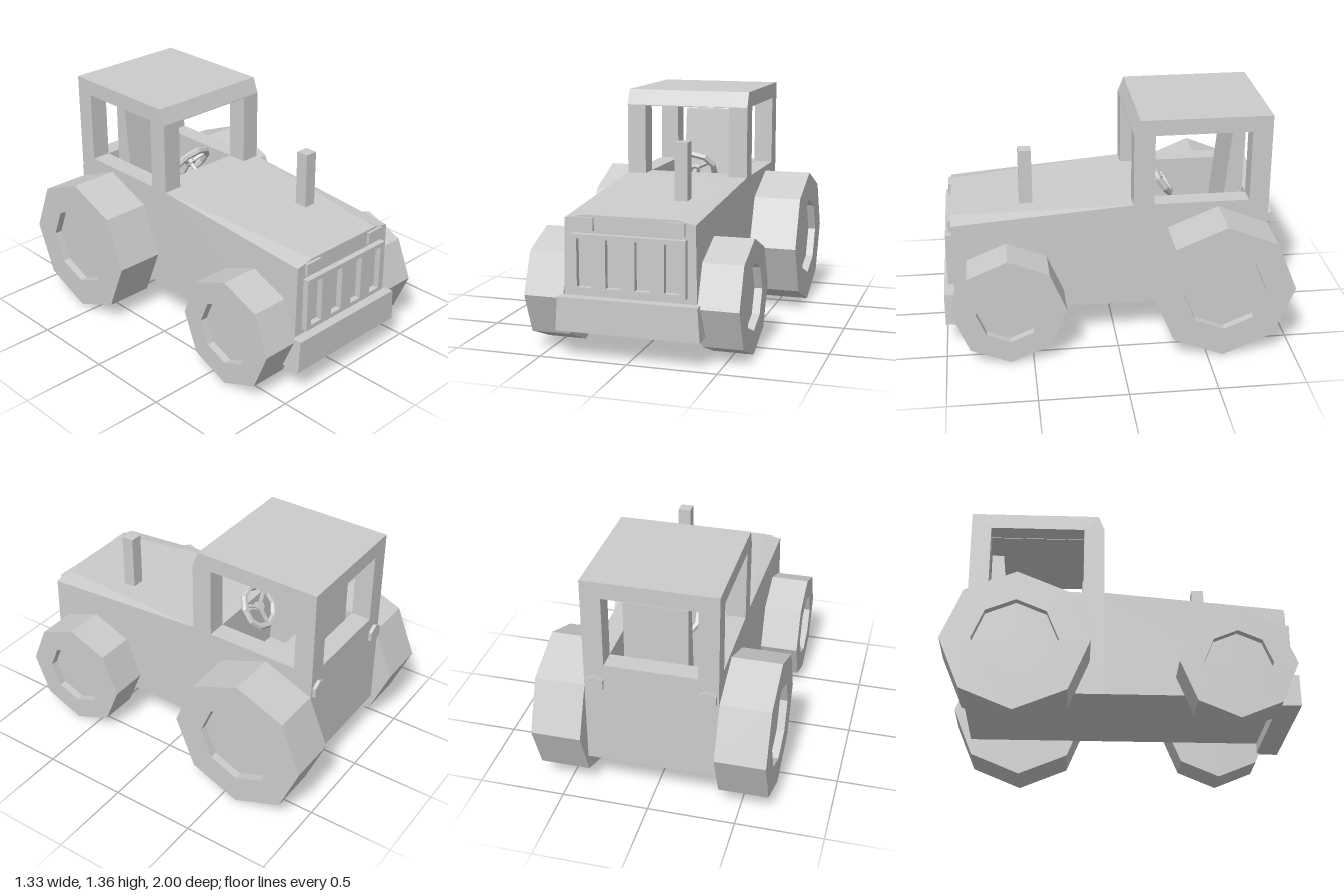
import * as THREE from 'three';
import { ConvexGeometry } from 'three/addons/geometries/ConvexGeometry.js';

const material = new THREE.MeshStandardMaterial({ color: 0xcccccc, flatShading: true });

export function createModel() {
  const model = new THREE.Group();

  function add(name, geometry, parent = model) {
    const mesh = new THREE.Mesh(geometry, material);
    mesh.name = name;
    parent.add(mesh);
    return mesh;
  }
  // Box given by its limits on each axis
  function box(name, [x0, x1], [y0, y1], [z0, z1]) {
    const g = new THREE.BoxGeometry(x1 - x0, y1 - y0, z1 - z0);
    g.translate((x0 + x1) / 2, (y0 + y1) / 2, (z0 + z1) / 2);
    return add(name, g);
  }
  const toPoints = (list) => list.map(([a, b]) => new THREE.Vector2(a, b));
  function extrude(outline, holes, depth) {
    const shape = new THREE.Shape(toPoints(outline));
    holes.forEach((h) => shape.holes.push(new THREE.Path(toPoints(h))));
    return new THREE.ExtrudeGeometry(shape, { depth, bevelEnabled: false });
  }
  // Side profile of (z, y) points, extruded from x0 to x1
  function sideProfile(name, outline, holes, x0, x1) {
    return add(name, extrude(outline, holes, x1 - x0).rotateY(-Math.PI / 2).translate(x1, 0, 0));
  }
  const rect = (a0, a1, b0, b1) => [[a0, b0], [a1, b0], [a1, b1], [a0, b1]];

  // Hood: tapers and slopes down to a front with bevelled top corners
  const section = (z, bottom, side, shoulder, top) => [-1, 1].flatMap((s) => [
    new THREE.Vector3(s * bottom, 0.215, z),
    new THREE.Vector3(s * side, shoulder, z),
    new THREE.Vector3(s * 0.26, top, z),
  ]);
  add('hood', new ConvexGeometry([
    ...section(0.94, 0.376, 0.366, 0.768, 0.79),
    ...section(-0.1, 0.376, 0.376, 0.85, 0.85),
  ]));

  // Cab: two side walls with windows, joined by roof, panels and floor
  const inner = 0.262, outer = 0.376, back = -0.885;
  for (const s of [-1, 1]) {
    sideProfile(s > 0 ? 'cabSideLeft' : 'cabSideRight',
      [[back, 0.215], [-0.1, 0.215], [-0.1, 1.27], [-0.135, 1.36], [back, 1.36]],
      [rect(-0.77, -0.22, 0.85, 1.268)],
      s > 0 ? inner : -outer, s > 0 ? outer : -inner);
  }
  sideProfile('cabRoof', [[back, 1.265], [-0.1, 1.265], [-0.1, 1.27], [-0.135, 1.36], [back, 1.36]],
    [], -inner, inner);
  box('cabFrontPanel', [-inner, inner], [0.215, 0.85], [-0.22, -0.1]);
  box('cabBackPanel', [-inner, inner], [0.215, 0.85], [back, -0.77]);
  box('cabFloor', [-inner, inner], [0.215, 0.45], [-0.77, -0.22]);

  // Seat: leaning backrest and cushion
  sideProfile('seat', [[-0.77, 0.45], [-0.45, 0.45], [-0.45, 0.62], [-0.645, 0.62], [-0.70, 1.19], [-0.77, 1.19]],
    [], -0.18, 0.18);

  // Steering wheel with spokes, hub and column
  const steering = new THREE.Group();
  steering.name = 'steeringWheel';
  steering.position.set(0, 0.86, -0.3);
  steering.rotation.x = 0.61;
  model.add(steering);
  add('steeringRing', new THREE.TorusGeometry(0.122, 0.02, 6, 10).rotateZ(Math.PI / 10), steering);
  add('steeringHub', new THREE.CylinderGeometry(0.03, 0.03, 0.03, 8).rotateX(Math.PI / 2), steering);
  for (const angle of [Math.PI / 6, Math.PI * 5 / 6, Math.PI * 1.5]) {
    add('steeringSpoke', new THREE.BoxGeometry(0.12, 0.016, 0.016).translate(0.06, 0, 0).rotateZ(angle), steering);
  }
  add('steeringColumn', new THREE.CylinderGeometry(0.015, 0.015, 0.2, 6).rotateX(Math.PI / 2).translate(0, 0, 0.1), steering);

  // Grille with four slots
  const slots = [-0.245, -0.082, 0.082, 0.245].map((x) => rect(x - 0.041, x + 0.041, 0.4, 0.665));
  add('grille', extrude(rect(-0.32, 0.32, 0.375, 0.69), slots, 0.037).translate(0, 0, 0.938));

  // Bumper, slightly wider at the bottom
  add('bumper', extrude([[-0.405, 0.155], [0.405, 0.155], [0.393, 0.345], [-0.393, 0.345]], [], 0.13)
    .translate(0, 0, 0.87));

  box('exhaust', [0.125, 0.2], [0.79, 1.14], [0.465, 0.54]);

  // Wheels: eight-sided, with a recessed rim on the outer face
  function wheel(name, side, radius, rim, width, z) {
    const profile = toPoints([[0, 0], [radius, 0], [radius, width], [rim, width], [rim, width - 0.045], [0, width - 0.045]]);
    const mesh = add(name, new THREE.LatheGeometry(profile, 8));
    mesh.rotation.z = -side * Math.PI / 2;
    mesh.position.set(side * 0.378, radius, z);
  }

  for (const s of [-1, 1]) {
    const label = s > 0 ? 'Left' : 'Right';
    wheel('rearWheel' + label, s, 0.41, 0.238, 0.285, -0.59);
    wheel('frontWheel' + label, s, 0.325, 0.19, 0.227, 0.63);
    box('headlight' + label, s > 0 ? [0.198, 0.31] : [-0.31, -0.198], [0.705, 0.778], [0.93, 0.957]);
    const lamp = add('tailLight' + label, new THREE.CylinderGeometry(0.057, 0.057, 0.03, 6).rotateX(Math.PI / 2));
    lamp.position.set(s * 0.315, 0.728, -0.89);
  }
  return model;
}
